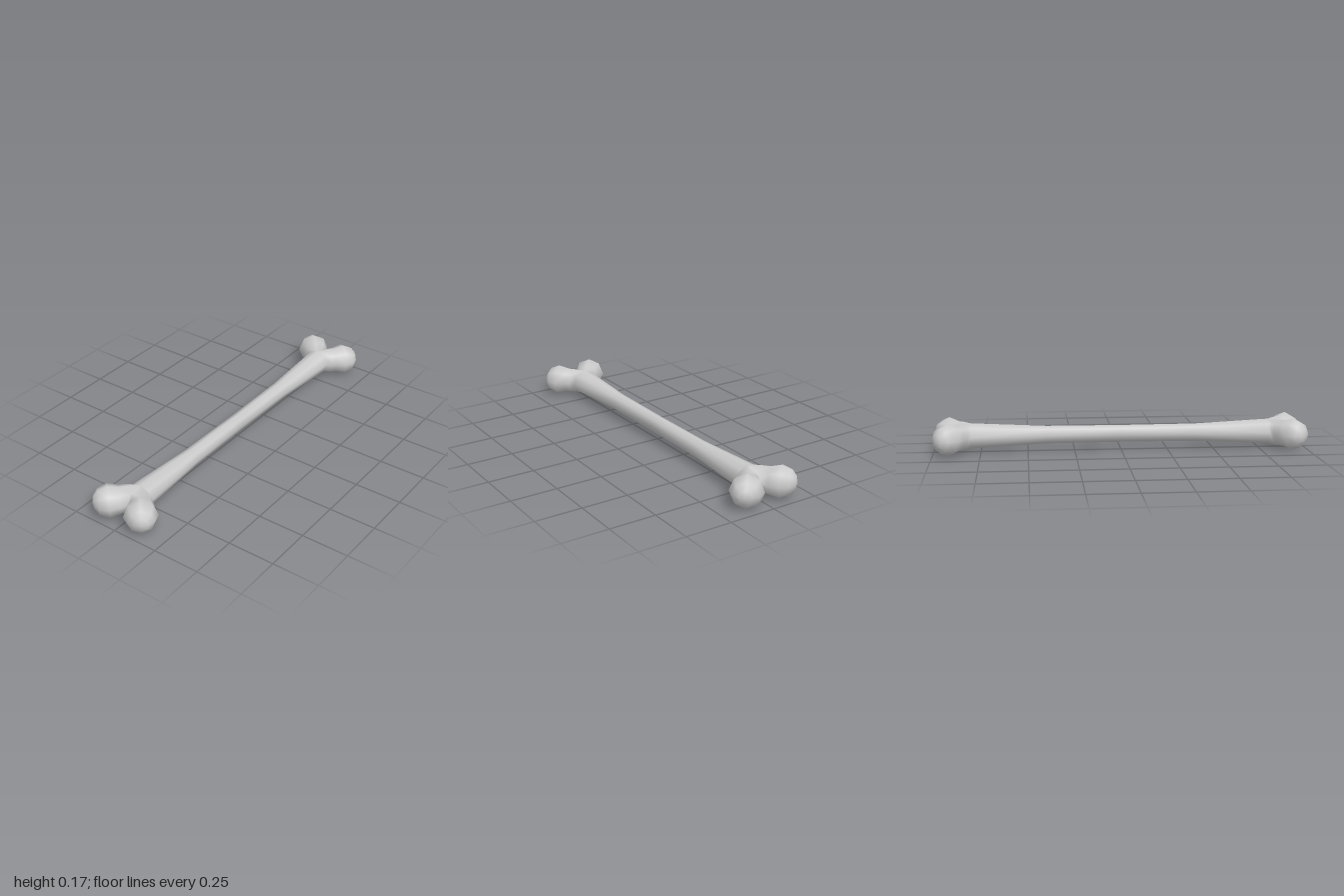
import * as THREE from 'three';
import { mergeVertices } from 'three/addons/utils/BufferGeometryUtils.js';

const SIDES = 8;
const MID_Y = 0.086;

// Cross-sections of one quarter, from mid shaft to knuckle tip: x, z, heading, radius
function quarterSections() {
  const sections = [
    [0, 0, 0, 0.046],
    [0.4, 0, 0, 0.048],
    [0.8, 0, 0, 0.068],
    [0.84, 0.034, 0.38, 0.071],
  ];
  // rounded knuckle, sliced into rings along its slanted axis
  const heading = THREE.MathUtils.degToRad(43);
  const knob = { x: 0.915, z: 0.098, r: 0.086 };
  for (const deg of [124, 85, 50, 24, 0]) {
    const a = THREE.MathUtils.degToRad(deg);
    const along = knob.r * Math.cos(a);
    sections.push([
      knob.x + along * Math.cos(heading),
      knob.z + along * Math.sin(heading),
      heading,
      knob.r * Math.sin(a),
    ]);
  }
  return sections;
}

// Loft all four mirrored quarters into one welded, smooth surface
function boneGeometry() {
  const sections = quarterSections();
  const positions = [];
  const index = [];
  for (const sx of [1, -1]) {
    for (const sz of [1, -1]) {
      const base = positions.length / 3;
      for (const [x, z, heading, r] of sections) {
        for (let j = 0; j < SIDES; j++) {
          const t = (j / SIDES) * Math.PI * 2;
          const side = r * Math.cos(t);
          // the quarter stops at the middle plane, where it meets its mirror
          let pz = Math.max(0, z + side * Math.cos(heading));
          if (pz < 1e-6) pz = 0;
          positions.push(
            sx * (x - side * Math.sin(heading)),
            MID_Y + r * Math.sin(t),
            sz * pz
          );
        }
      }
      const onPlane = (k) => positions[k * 3 + 2] === 0;
      const face = (a, b, c) => {
        if (onPlane(a) && onPlane(b) && onPlane(c)) return; // no inner wall
        if (sx * sz > 0) index.push(a, b, c);
        else index.push(a, c, b);
      };
      for (let i = 0; i < sections.length - 1; i++) {
        for (let j = 0; j < SIDES; j++) {
          const a = base + i * SIDES + j;
          const c = base + i * SIDES + ((j + 1) % SIDES);
          const b = a + SIDES;
          const d = c + SIDES;
          face(a, b, c);
          face(b, d, c);
        }
      }
    }
  }
  let geometry = new THREE.BufferGeometry();
  geometry.setAttribute('position', new THREE.Float32BufferAttribute(positions, 3));
  geometry.setIndex(index);
  geometry = mergeVertices(geometry, 1e-5);
  geometry.computeVertexNormals();
  return geometry;
}

export function createModel() {
  const group = new THREE.Group();
  group.name = 'bone';

  const boneGrey = new THREE.MeshStandardMaterial({ color: 0xcccccc });
  boneGrey.name = 'bone grey';

  // shaft with a pair of knuckles at each end
  const bone = new THREE.Mesh(boneGeometry(), boneGrey);
  bone.name = 'shaftAndKnuckles';
  group.add(bone);
  return group;
}
